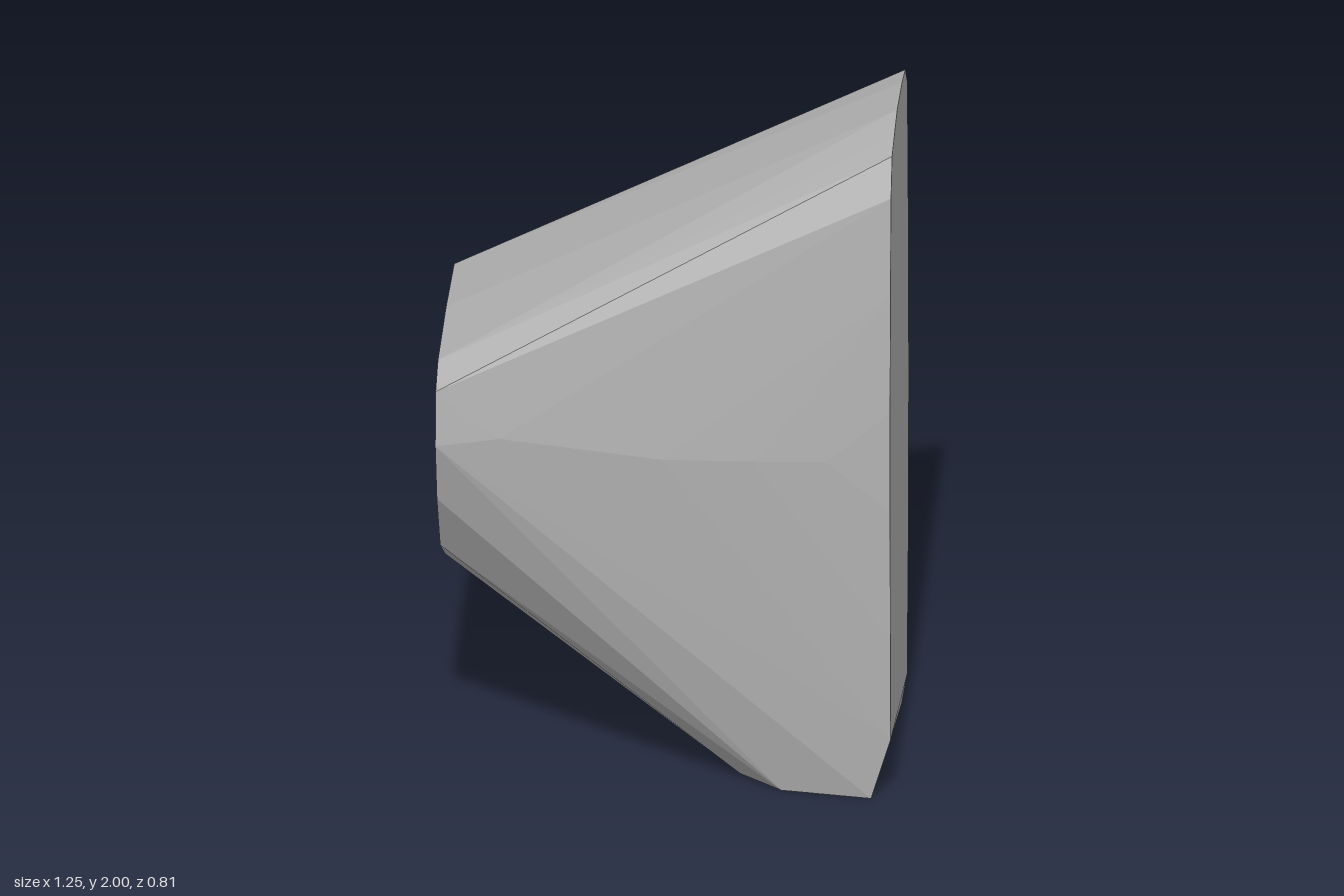
import * as THREE from 'three';
import { ConvexGeometry } from 'three/addons/geometries/ConvexGeometry.js';

export function createModel() {
  const group = new THREE.Group();
  group.name = 'wedgeBlock';
  const stoneGrey = new THREE.MeshStandardMaterial({ color: 0xb2b2b2 });
  stoneGrey.name = 'stone grey';

  // Small end cap at -x, as [z, y]
  const smallEnd = [
    [-0.4, 1.23], [-0.3, 1.285], [0, 1.3], [0.3, 1.285], [0.385, 1.23], [0.4, 1.07],
    [0.34, 0.88], [0.22, 0.68], [0.05, 0.57], [-0.11, 0.62], [-0.28, 0.77], [-0.404, 1.01],
  ];
  // Tall end cap at +x, as [z, y]
  const tallEnd = [
    [0.29, 1.95], [0.2, 1.975], [0.1, 2], [-0.08, 1.995], [-0.2, 1.975], [-0.275, 1.9],
    [-0.3, 1.6], [-0.32, 1.3], [-0.325, 0.95], [-0.31, 0.5], [-0.268, 0.09],
    [0.342, 0.19], [0.355, 0.5], [0.365, 0.9], [0.365, 1.2], [0.35, 1.55], [0.33, 1.84],
  ];
  // Flat foot on the ground, as [x, z]
  const foot = [
    [0.57, 0.328], [0.61, -0.268], [0.457, -0.3], [0.29, -0.185],
    [0.21, -0.07], [0.19, 0.07], [0.2, 0.2], [0.32, 0.295],
  ];
  // Gentle bulge of both broad sides, as [x, y, z]
  const bulge = [
    [0, 1.05, -0.394], [0.25, 1, -0.38], [0.45, 1, -0.357],
    [-0.45, 1.1, 0.402], [0, 1.05, 0.396], [0.25, 1.05, 0.389], [0.45, 1.05, 0.38],
    [-0.45, 1.325, 0.37],
  ];

  const points = [
    ...smallEnd.map(([z, y]) => new THREE.Vector3(-0.625, y, z)),
    ...tallEnd.map(([z, y]) => new THREE.Vector3(0.625, y, z)),
    ...foot.map(([x, z]) => new THREE.Vector3(x, 0, z)),
    ...bulge.map((p) => new THREE.Vector3(...p)),
  ];

  // Faceted convex body stretched around all the sections
  const body = new THREE.Mesh(new ConvexGeometry(points), stoneGrey);
  body.name = 'facetedBody';
  group.add(body);
  return group;
}
